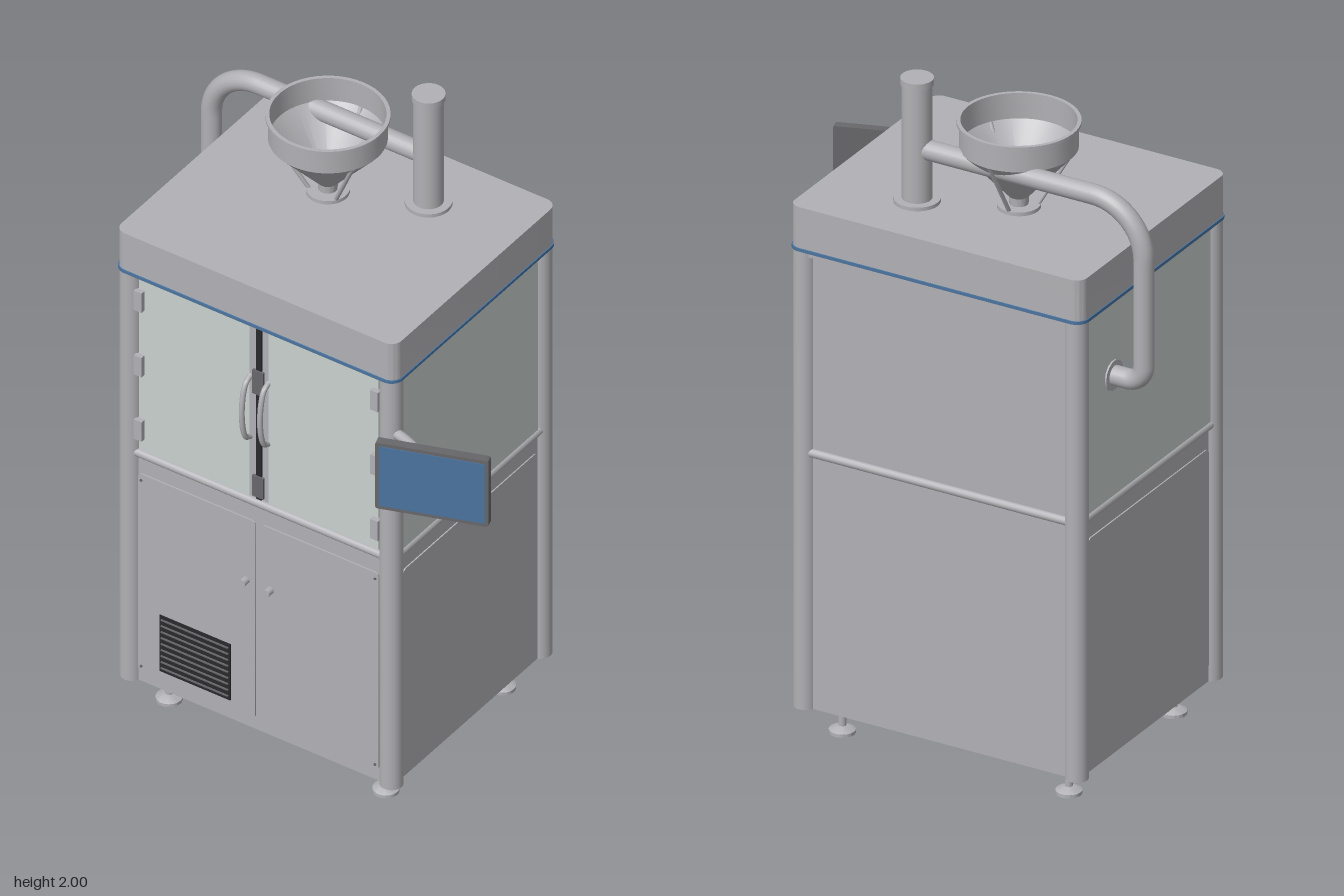
import * as THREE from 'three';
import { toCreasedNormals } from 'three/addons/utils/BufferGeometryUtils.js';

const CX = -0.125, CZ = -0.083;      // cabinet centre
const HX = 0.461, HZ = 0.388;        // cabinet half sizes
const R = 0.033;                     // corner post radius
const PX = HX - R, PZ = HZ - R;      // post offsets
const FX = HX - 0.022, FZ = HZ - 0.022; // panel face offsets

export function createModel() {
  const model = new THREE.Group();
  const mat = (name, color, side = THREE.FrontSide) => {
    const m = new THREE.MeshStandardMaterial({ color, side });
    m.name = name;
    return m;
  };
  const metal = mat('brushed grey metal', 0xb1b1b5, THREE.DoubleSide);
  const glass = mat('pale glass', 0xc8d0ce);
  const blue = mat('blue', 0x4b749f);
  const dark = mat('dark grey', 0x68686b);
  const black = mat('black', 0x29292d);

  const add = (name, geo, m, x = 0, y = 0, z = 0, parent = model) => {
    const mesh = new THREE.Mesh(geo, m);
    mesh.name = name;
    mesh.position.set(x, y, z);
    parent.add(mesh);
    return mesh;
  };
  // box given by its limits
  const block = (name, m, x0, x1, y0, y1, z0, z1) =>
    add(name, new THREE.BoxGeometry(x1 - x0, y1 - y0, z1 - z0), m, (x0 + x1) / 2, (y0 + y1) / 2, (z0 + z1) / 2);
  const cyl = (r, h, r2 = r, n = 28) => new THREE.CylinderGeometry(r, r2, h, n);
  const V = (x, y, z) => new THREE.Vector3(x, y, z);
  const rod = (name, a, b, r, m) => {
    const mesh = add(name, cyl(r, a.distanceTo(b), r, 14), m);
    mesh.position.copy(a).add(b).multiplyScalar(0.5);
    mesh.quaternion.setFromUnitVectors(V(0, 1, 0), b.clone().sub(a).normalize());
    return mesh;
  };
  const lathe = (pts) => toCreasedNormals(
    new THREE.LatheGeometry(pts.map(([r, y]) => new THREE.Vector2(r, y)), 48), 0.5);
  // extruded rounded rectangle, centred, from depth 0 to d
  const plate = (w, h, r, d) => {
    const s = new THREE.Shape(), a = w / 2, b = h / 2;
    s.moveTo(-a + r, -b).lineTo(a - r, -b).absarc(a - r, -b + r, r, -Math.PI / 2, 0);
    s.lineTo(a, b - r).absarc(a - r, b - r, r, 0, Math.PI / 2);
    s.lineTo(-a + r, b).absarc(-a + r, b - r, r, Math.PI / 2, Math.PI);
    s.lineTo(-a, -b + r).absarc(-a + r, -b + r, r, Math.PI, Math.PI * 1.5);
    return toCreasedNormals(new THREE.ExtrudeGeometry(s, { depth: d, bevelEnabled: false, curveSegments: 8 }), 0.5);
  };

  // Lower cabinet, posts, rails and feet
  block('lowerCabinet', metal, CX - FX, CX + FX, 0.1, 0.87, CZ - FZ, CZ + FZ);
  for (const sx of [-1, 1]) for (const sz of [-1, 1]) {
    add('cornerPost', cyl(R, 1.4), metal, CX + sx * PX, 0.8, CZ + sz * PZ);
    const fx = CX + 0.003 + sx * 0.357, fz = CZ + 0.005 + sz * 0.278;
    add('footPad', lathe([[0, 0], [0.037, 0], [0.037, 0.01], [0.014, 0.022], [0, 0.022]]), metal, fx, 0, fz);
    add('footStem', cyl(0.011, 0.085), metal, fx, 0.06, fz);
    add('footNut', cyl(0.018, 0.014, 0.018, 6), metal, fx, 0.066, fz);
    add('footCollar', cyl(0.017, 0.012), metal, fx, 0.094, fz);
  }
  for (const s of [-1, 1]) {
    const z = CZ + s * FZ, x = CX + s * FX;
    rod('middleRail', V(CX - PX, 0.877, z), V(CX + PX, 0.877, z), 0.013, metal);
    rod('middleRail', V(x, 0.877, CZ - PZ), V(x, 0.877, CZ + PZ), 0.013, metal);
    block('upperRail', metal, CX - PX, CX + PX, 1.474, 1.497, z - 0.012, z + 0.006);
    block('upperRail', metal, x - 0.009, x + 0.009, 1.474, 1.497, CZ - PZ, CZ + PZ);
    // side glass and lower side panel
    block('sideGlass', glass, x - 0.006, x + 0.006, 0.888, 1.476, CZ - 0.32, CZ + 0.325);
    const panel = add('sidePanel', plate(0.64, 0.67, 0.015, 0.004), metal, x, 0.475, CZ);
    panel.rotation.y = s * Math.PI / 2;
  }
  block('backUpperPanel', metal, CX - PX, CX + PX, 0.885, 1.476, CZ - FZ, CZ - FZ + 0.012);

  // Header with blue light strip
  const header = add('header', plate(2 * HX, 2 * HZ, R, 0.13), metal, CX, 1.495, CZ);
  header.rotation.x = -Math.PI / 2;
  const strip = add('blueStrip', plate(2 * HX + 0.008, 2 * HZ + 0.008, R + 0.004, 0.009), blue, CX, 1.492, CZ);
  strip.rotation.x = -Math.PI / 2;

  // Front doors, mirrored about the middle
  const front = CZ + FZ;
  for (const s of [-1, 1]) {
    const at = (d) => CX + s * d;
    add('lowerDoor', plate(0.386, 0.67, 0.012, 0.005), metal, at(0.203), 0.475, front);
    const knob = add('doorKnob', cyl(0.011, 0.022), metal, at(0.04), 0.6, front + 0.015);
    knob.rotation.x = Math.PI / 2;
    for (const [d, y] of [[0.385, 0.155], [0.385, 0.79]]) {
      const screw = add('doorScrew', cyl(0.004, 0.004, 0.004, 10), dark, at(d), y, front + 0.006);
      screw.rotation.x = Math.PI / 2;
    }
    add('glassDoor', new THREE.BoxGeometry(0.363, 0.584, 0.012), glass, at(0.213), 1.182, front - 0.004);
    add('doorEdge', new THREE.BoxGeometry(0.022, 0.584, 0.012), metal, at(0.021), 1.182, front - 0.006);
    for (const y of [1.405, 1.185, 0.965])
      add('hinge', new THREE.BoxGeometry(0.026, 0.066, 0.022), metal, at(0.389), y, front + 0.006);
    const bow = new THREE.CatmullRomCurve3([
      V(0, 1.09, front - 0.004), V(0, 1.105, front + 0.022), V(0, 1.195, front + 0.04),
      V(0, 1.285, front + 0.022), V(0, 1.3, front - 0.004)]);
    add('doorHandle', new THREE.TubeGeometry(bow, 28, 0.008, 10), metal, at(0.03));
  }
  block('doorSeal', black, CX - 0.009, CX + 0.009, 0.89, 1.474, front - 0.01, front + 0.003);
  for (const [y0, y1] of [[1.25, 1.33], [0.9, 0.97]])
    block('doorLatch', dark, CX - 0.018, CX + 0.018, y0, y1, front - 0.01, front + 0.008);

  // Ventilation grille
  block('grillePlate', black, -0.448, -0.215, 0.167, 0.358, front, front + 0.008);
  for (let i = 0; i < 9; i++) {
    const y = 0.181 + i * 0.0205;
    block('grilleSlat', dark, -0.442, -0.221, y - 0.002, y + 0.002, front, front + 0.012);
  }

  // Exhaust stack and suction pipe
  const SX = 0.048, SZ = -0.274;
  add('stackFlange', cyl(0.065, 0.012), metal, SX, 1.63, SZ);
  add('exhaustStack', cyl(0.042, 0.37), metal, SX, 1.81, SZ);
  add('stackCap', cyl(0.046, 0.02), metal, SX, 1.99, SZ);
  const path = new THREE.CurvePath();
  const L = -0.667, T = 1.788, B = 1.256, a = 0.16, b = 0.05, k = 0.448;
  path.add(new THREE.LineCurve3(V(SX, T, SZ), V(L + a, T, SZ)));
  path.add(new THREE.CubicBezierCurve3(V(L + a, T, SZ), V(L + a * k, T, SZ), V(L, T - a * k, SZ), V(L, T - a, SZ)));
  path.add(new THREE.LineCurve3(V(L, T - a, SZ), V(L, B + b, SZ)));
  path.add(new THREE.CubicBezierCurve3(V(L, B + b, SZ), V(L, B + b * k, SZ), V(L + b * k, B, SZ), V(L + b, B, SZ)));
  path.add(new THREE.LineCurve3(V(L + b, B, SZ), V(-0.55, B, SZ)));
  add('suctionPipe', new THREE.TubeGeometry(path, 160, 0.029, 20), metal);
  rod('pipeFlange', V(-0.575, B, SZ), V(-0.555, B, SZ), 0.045, metal);

  // Open hopper on three struts
  const KX = -0.207, KZ = -0.163;
  add('hopper', lathe([[0.026, 1.63], [0.028, 1.66], [0.163, 1.81], [0.163, 1.88], [0.17, 1.88],
    [0.17, 1.889], [0.159, 1.889], [0.159, 1.812], [0.025, 1.663], [0.024, 1.645], [0, 1.645]]), metal, KX, 0, KZ);
  add('hopperFlange', cyl(0.06, 0.012), metal, KX, 1.63, KZ);
  for (const deg of [30, 150, 270]) {
    const c = Math.cos(deg * Math.PI / 180), s = Math.sin(deg * Math.PI / 180);
    rod('hopperStrut', V(KX + 0.158 * c, 1.812, KZ + 0.158 * s), V(KX + 0.05 * c, 1.63, KZ + 0.05 * s), 0.006, metal);
  }

  // Control screen on a curved arm
  const arm = new THREE.CatmullRomCurve3([V(0.31, 1.31, 0.278), V(0.36, 1.31, 0.29), V(0.43, 1.31, 0.322), V(0.5, 1.31, 0.375)]);
  add('screenArm', new THREE.TubeGeometry(arm, 24, 0.015, 14), metal);
  const screen = new THREE.Group();
  screen.name = 'controlScreen';
  screen.position.set(0.531, 1.311, 0.404);
  screen.rotation.y = 0.33;
  model.add(screen);
  const housing = plate(0.32, 0.224, 0.008, 0.026);
  add('screenHousing', housing, dark, 0, 0, -0.013, screen);
  add('screenFace', new THREE.BoxGeometry(0.298, 0.202, 0.004), blue, 0, 0, 0.013, screen);

  return model;
}
